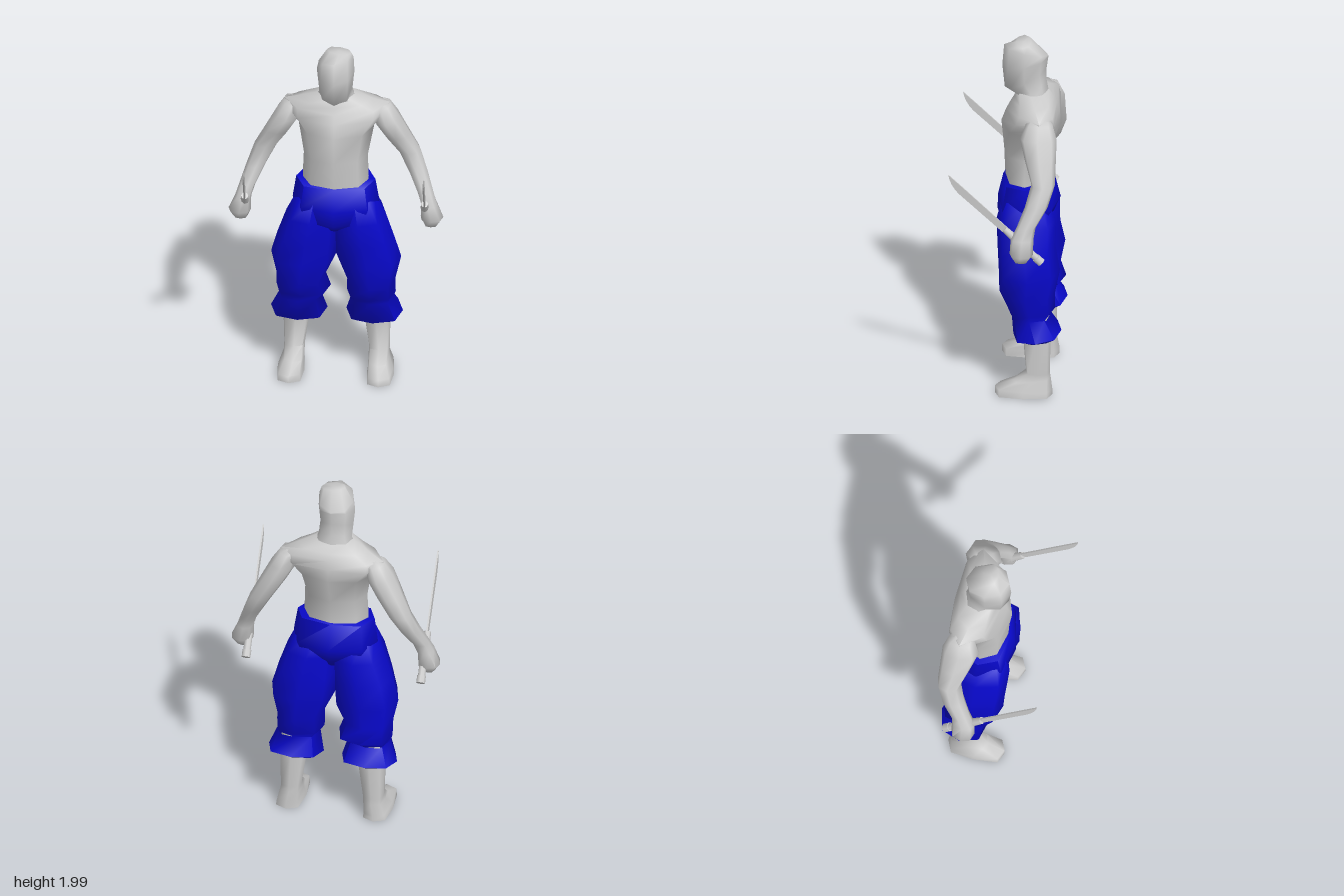
import * as THREE from 'three';
import { toCreasedNormals } from 'three/addons/utils/BufferGeometryUtils.js';

const skin = new THREE.MeshStandardMaterial({ color: 0xcccccc });
const cloth = new THREE.MeshStandardMaterial({ color: 0x0808c8 });

// Closed skin over rings listed from bottom to top.
// Ring: [x0, x1, z0, z1, y, rise toward front, rise toward +x, backward sweep of the sides]
function loft(name, rings, material, power = 0.8, sides = 8) {
  const pos = [], index = [];
  const bend = v => Math.sign(v) * Math.abs(v) ** power;
  for (const [x0, x1, z0, z1, y, tz = 0, tx = 0, sweep = 0] of rings) {
    for (let j = 0; j < sides; j++) {
      const a = (j / sides) * Math.PI * 2;
      const s = bend(Math.sin(a)), c = bend(Math.cos(a));
      pos.push((x0 + x1) / 2 + s * (x1 - x0) / 2, y + tz * c + tx * s, (z0 + z1) / 2 + c * (z1 - z0) / 2 - sweep * s * s);
    }
  }
  const last = rings.length - 1, base = rings.length * sides;
  for (const r of [rings[0], rings[last]]) pos.push((r[0] + r[1]) / 2, r[4], (r[2] + r[3]) / 2);
  for (let j = 0; j < sides; j++) {
    const k = (j + 1) % sides;
    for (let i = 0; i < last; i++) {
      const a = i * sides + j, b = i * sides + k;
      index.push(a, b, b + sides, a, b + sides, a + sides);
    }
    index.push(base, k, j, base + 1, last * sides + j, last * sides + k);
  }
  const geo = new THREE.BufferGeometry();
  geo.setAttribute('position', new THREE.Float32BufferAttribute(pos, 3));
  geo.setIndex(index);
  const mesh = new THREE.Mesh(toCreasedNormals(geo, 1.35), material);
  mesh.name = name;
  return mesh;
}

// Swap a ring list to the other side of the body
const mirror = rings => rings.map(([x0, x1, z0, z1, y, tz = 0, tx = 0]) => [-x1, -x0, z0, z1, y, tz, -tx]);

function sword(name, x) {
  const group = new THREE.Group();
  group.name = name;
  const add = (part, geo, y) => {
    const mesh = new THREE.Mesh(geo, skin);
    mesh.name = part;
    mesh.position.y = y;
    group.add(mesh);
  };
  add('grip', new THREE.CylinderGeometry(0.02, 0.02, 0.2, 8), 0.11);
  add('pommel', new THREE.CylinderGeometry(0.024, 0.024, 0.04, 8), 0.02);
  add('collar', new THREE.CylinderGeometry(0.019, 0.023, 0.08, 8), 0.24);
  // Single-edged blade with its point on the spine side
  const shape = new THREE.Shape();
  shape.moveTo(-0.018, 0);
  shape.lineTo(-0.025, 0.33);
  shape.quadraticCurveTo(-0.02, 0.4, 0.014, 0.445);
  shape.lineTo(0.016, 0.33);
  shape.lineTo(0.018, 0);
  const blade = new THREE.ExtrudeGeometry(shape, { depth: 0.008, bevelEnabled: false, curveSegments: 4 });
  blade.translate(0, 0, -0.004);
  add('blade', blade, 0.27);
  // Lean forward and up, with the flat of the blade facing sideways
  const dir = new THREE.Vector3(0.035, 0.51, 0.5).normalize();
  const spine = new THREE.Vector3().crossVectors(dir, new THREE.Vector3(1, 0, 0)).normalize();
  const flat = new THREE.Vector3().crossVectors(spine, dir);
  group.quaternion.setFromRotationMatrix(new THREE.Matrix4().makeBasis(spine, dir, flat));
  group.position.set(x, 0.91, -0.2);
  return group;
}

export function createModel() {
  const model = new THREE.Group();
  model.name = 'swordsman';

  // Torso widening into swept-back shoulders
  model.add(loft('torso', [
    [-0.17, 0.17, -0.2, 0.02, 1.12],
    [-0.175, 0.175, -0.2, 0.03, 1.22],
    [-0.17, 0.17, -0.215, 0.035, 1.35],
    [-0.2, 0.2, -0.265, 0.05, 1.51, 0, 0, 0.02],
    [-0.275, 0.275, -0.26, 0.025, 1.58, 0, 0, 0.05],
    [-0.28, 0.28, -0.245, 0, 1.63, 0, 0, 0.05],
    [-0.19, 0.19, -0.23, -0.02, 1.665, 0, 0, 0.02],
    [-0.1, 0.1, -0.2, -0.03, 1.705],
  ], skin, 0.92));

  model.add(loft('head', [
    [-0.12, 0.12, -0.21, -0.03, 1.65],
    [-0.09, 0.09, -0.19, -0.03, 1.72, -0.04],
    [-0.09, 0.09, -0.19, 0.032, 1.77, -0.06],
    [-0.1, 0.1, -0.2, 0.045, 1.87, -0.03],
    [-0.09, 0.095, -0.2, 0.035, 1.935, 0.028, 0.015],
    [-0.045, 0.085, -0.11, -0.03, 1.99, 0, -0.008],
  ], skin, 0.95));

  // Arms, from fist to shoulder
  const arm = [
    [0.47, 0.54, -0.13, -0.06, 0.935],
    [0.45, 0.57, -0.16, -0.035, 0.98],
    [0.45, 0.535, -0.16, -0.04, 1.06],
    [0.43, 0.515, -0.17, -0.07, 1.12],
    [0.38, 0.48, -0.23, -0.11, 1.22],
    [0.32, 0.44, -0.265, -0.14, 1.33],
    [0.25, 0.385, -0.265, -0.1, 1.44],
    [0.2, 0.33, -0.265, -0.07, 1.54, 0, 0.01],
    [0.18, 0.285, -0.24, -0.1, 1.615, 0, 0.005],
    [0.16, 0.25, -0.21, -0.12, 1.635],
  ];
  model.add(loft('leftArm', arm, skin), loft('rightArm', mirror(arm), skin));
  model.add(sword('leftSword', 0.465), sword('rightSword', -0.49));

  // Bare shins running into the feet
  const shin = [
    [0.165, 0.31, -0.24, 0.065, 0.01],
    [0.17, 0.305, -0.24, 0.065, 0.045, 0.005],
    [0.17, 0.28, -0.23, -0.03, 0.095, -0.012],
    [0.17, 0.28, -0.225, -0.1, 0.14],
    [0.14, 0.285, -0.23, -0.08, 0.36],
    [0.14, 0.28, -0.22, -0.07, 0.48],
  ];
  model.add(loft('leftFoot', shin, skin, 0.55), loft('rightFoot', mirror(shin), skin, 0.55));

  model.add(loft('trouserSeat', [
    [-0.08, 0.08, -0.19, 0.02, 0.93],
    [-0.2, 0.2, -0.23, 0.07, 0.985],
    [-0.23, 0.23, -0.265, 0.068, 1.07],
    [-0.21, 0.21, -0.22, 0.04, 1.2, -0.008],
  ], cloth, 0.75));

  // Baggy trouser legs gathered above a flared cuff; the folds differ by side
  const trouserLeg = fold => [
    [0.09, 0.31, -0.23, -0.05, 0.335],
    [0.05, 0.35, -0.285, -0.03, 0.36, -0.015],
    [0.08, 0.305, -0.225, -0.02, 0.465],
    fold,
    [0.06, 0.315, -0.25, 0.045, 0.59],
    [0, 0.345, -0.275, 0.05, 0.72],
    [-0.008, 0.31, -0.25, 0.058, 0.85],
    [-0.008, 0.262, -0.25, 0.065, 0.99],
    [0.01, 0.205, -0.2, 0.035, 1.11],
  ];
  const leftLeg = trouserLeg([0.055, 0.315, -0.25, 0.005, 0.5]);
  const rightLeg = trouserLeg([0.03, 0.32, -0.28, 0.005, 0.51]);
  model.add(loft('leftTrouserLeg', leftLeg, cloth, 0.75), loft('rightTrouserLeg', mirror(rightLeg), cloth, 0.75));

  return model;
}
